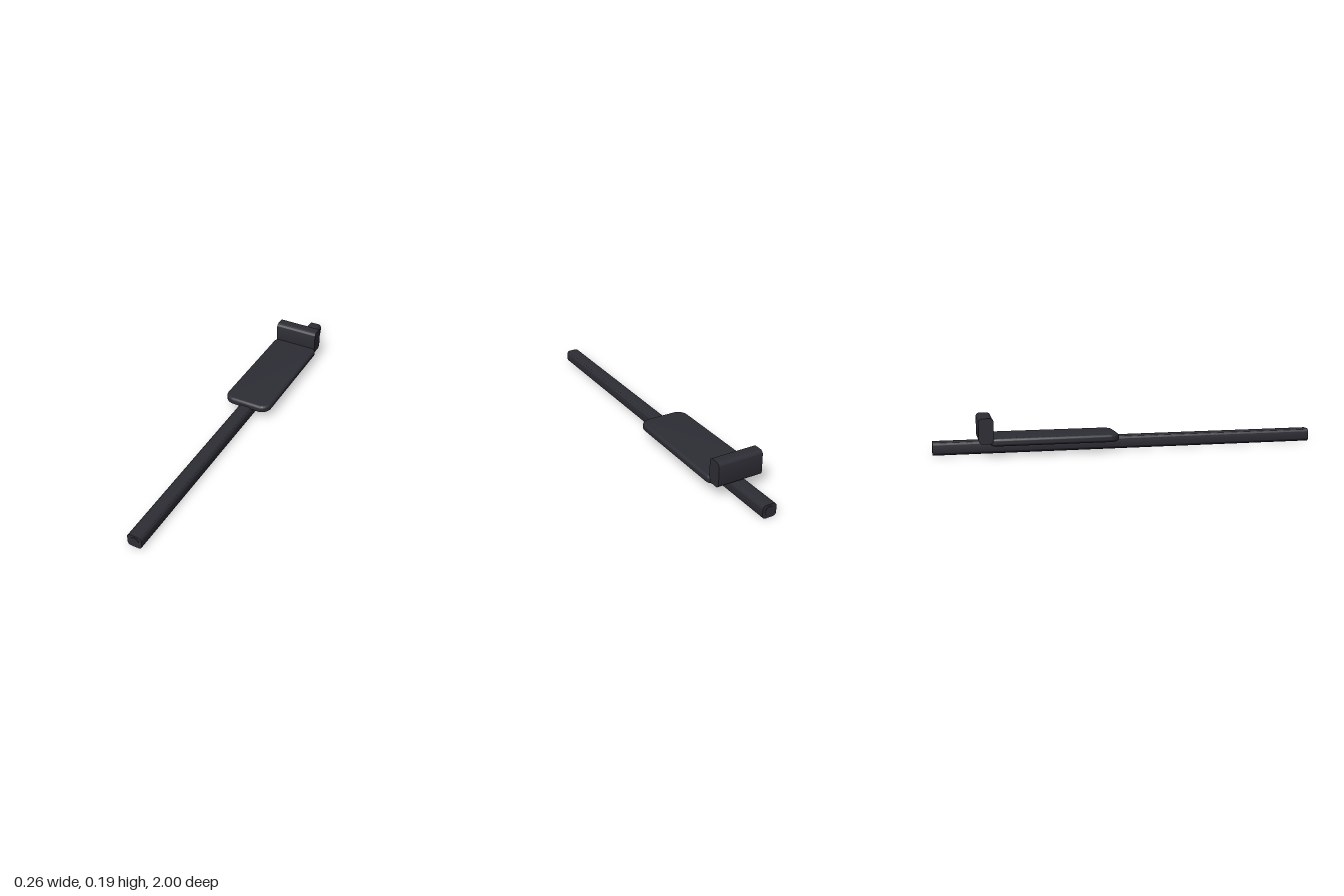
import * as THREE from 'three';
import { toCreasedNormals } from 'three/addons/utils/BufferGeometryUtils.js';

// Rounded rectangle centred on the origin, with separate lower and upper corner radii
function roundedRect(w, h, low, high = low) {
  const x = w / 2, y = h / 2;
  const s = new THREE.Shape();
  s.moveTo(-x + low, -y);
  s.lineTo(x - low, -y);
  s.absarc(x - low, -y + low, low, -Math.PI / 2, 0);
  s.lineTo(x, y - high);
  s.absarc(x - high, y - high, high, 0, Math.PI / 2);
  s.lineTo(-x + high, y);
  s.absarc(-x + high, y - high, high, Math.PI / 2, Math.PI);
  s.lineTo(-x, -y + low);
  s.absarc(-x + low, -y + low, low, Math.PI, Math.PI * 1.5);
  return s;
}

// Extrusion centred on its depth, with an optional rounded rim
function extrude(shape, depth, rim = 0) {
  const g = new THREE.ExtrudeGeometry(shape, {
    depth: depth - 2 * rim, curveSegments: 8, bevelEnabled: rim > 0,
    bevelThickness: rim, bevelSize: rim, bevelOffset: -rim, bevelSegments: 5,
  });
  g.translate(0, 0, -(depth - 2 * rim) / 2);
  return g;
}

export function createModel() {
  const group = new THREE.Group();
  const charcoal = new THREE.MeshStandardMaterial({ color: 0x2d2d35 });

  function add(name, geometry, x, y, z) {
    const mesh = new THREE.Mesh(toCreasedNormals(geometry, 0.6), charcoal);
    mesh.name = name;
    mesh.position.set(x, y, z);
    group.add(mesh);
  }

  // Long rail with rounded edges
  add('rail', extrude(roundedRect(0.074, 0.067, 0.018), 1.996), 0, 0.0335, 0);

  // Round caps on both ends of the rail
  for (const side of [1, -1]) {
    const cap = new THREE.CylinderGeometry(0.023, 0.023, 0.004, 32).rotateX(Math.PI / 2);
    add(side > 0 ? 'frontEndCap' : 'rearEndCap', cap, 0, 0.034, side * 0.998);
  }

  // Flat pad with a soft rim, rounder at the front corners
  const pad = extrude(roundedRect(0.256, 0.652, 0.055, 0.035), 0.04, 0.014).rotateX(-Math.PI / 2);
  add('pad', pad, 0, 0.07, -0.394);

  // Upright stop across the rear of the pad
  const stop = extrude(roundedRect(0.074, 0.127, 0.02), 0.238).rotateY(Math.PI / 2);
  add('rearStop', stop, 0, 0.1265, -0.74);

  return group;
}
